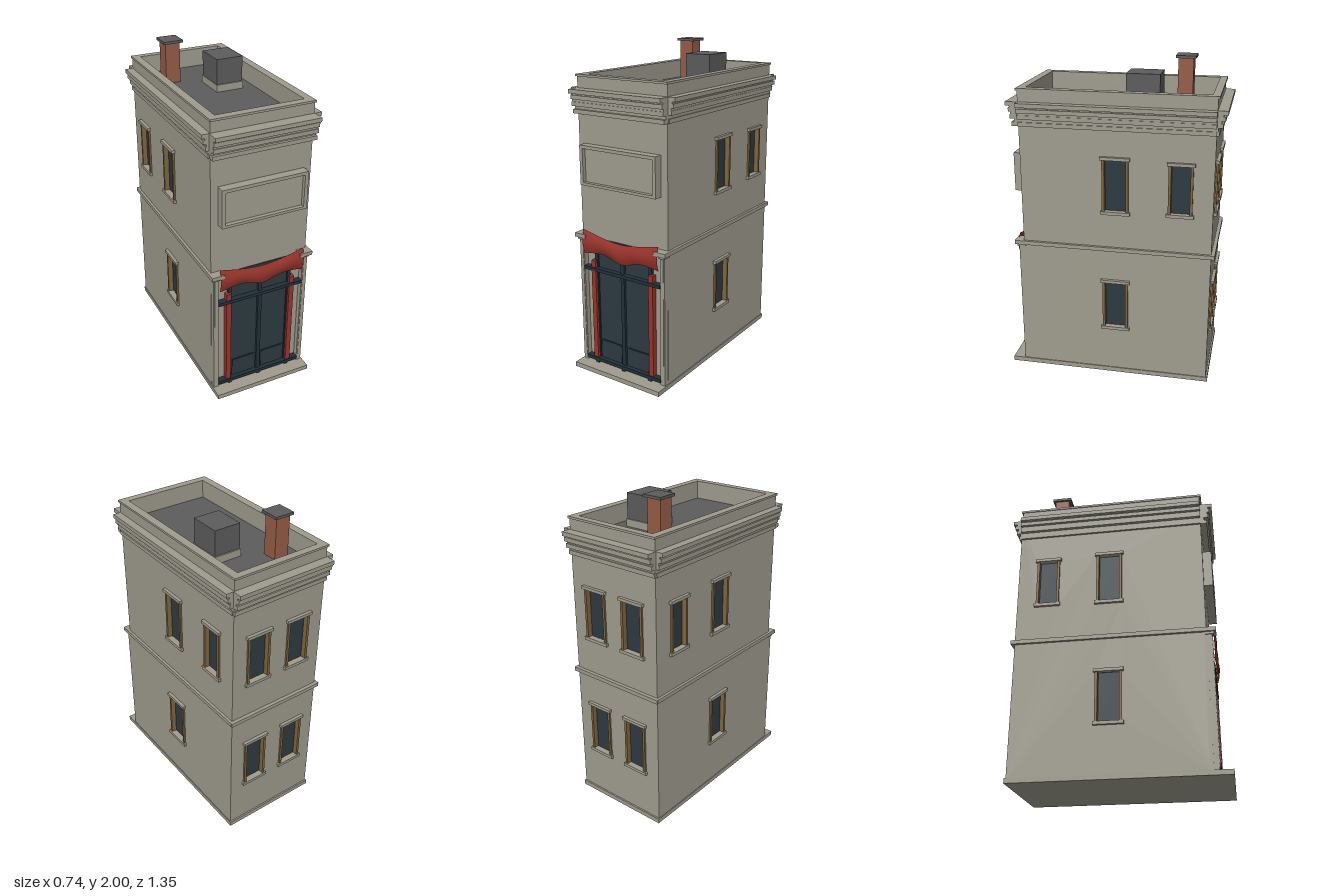
import * as THREE from 'three';

const mat = (name, color, extra = {}) => new THREE.MeshStandardMaterial({ name, color, ...extra });

export function createModel() {
  const stone = mat('stone', 0x9f9c8e);
  const roofGrey = mat('roof grey', 0x5c5c5c);
  const glass = mat('glass', 0x2d3a41);
  const joinery = mat('dark joinery', 0x22303a);
  const wood = mat('window wood', 0x80653f);
  const brick = mat('brick', 0x965c47);
  const red = mat('red paint', 0x9a342c);
  const cloth = mat('red cloth', 0x9a342c, { side: THREE.DoubleSide });

  const model = new THREE.Group();
  model.name = 'shopBuilding';

  // Box given by its limits on each axis
  const box = (name, m, x0, x1, y0, y1, z0, z1, parent = model) => {
    const mesh = new THREE.Mesh(new THREE.BoxGeometry(x1 - x0, y1 - y0, z1 - z0), m);
    mesh.position.set((x0 + x1) / 2, (y0 + y1) / 2, (z0 + z1) / 2);
    mesh.name = name;
    parent.add(mesh);
    return mesh;
  };
  const rect = (C, x0, x1, y0, y1) => new C([[x0, y0], [x1, y0], [x1, y1], [x0, y1]].map(p => new THREE.Vector2(...p)));

  const W = 0.32, ZF = 0.56, ZB = -0.615, ROOF = 1.73, R = 0.025;

  // Core, base and roof deck
  box('core', stone, -W + R, W - R, 0.02, ROOF - 0.01, ZB + R, ZF);
  box('baseSlab', stone, -0.325, 0.325, 0, 0.03, -0.625, 0.67);
  box('roofDeck', roofGrey, -0.28, 0.28, ROOF - 0.01, ROOF, -0.585, 0.525);
  box('frontWall', stone, -W, W, 0.02, ROOF, ZF - R, ZF);

  // Wall skin with window openings, in local axes: u across, y up, outside at z = 0
  const wall = (name, u0, u1, windows, x, z, turn) => {
    const g = new THREE.Group();
    g.name = name;
    const shape = rect(THREE.Shape, u0, u1, 0.02, ROOF);
    for (const [u, y0, y1, w] of windows) {
      shape.holes.push(rect(THREE.Path, u - w, u + w, y0, y1));
      const win = new THREE.Group();
      win.name = 'window';
      g.add(win);
      box('glassPane', glass, u - w, u + w, y0, y1, -R, -R + 0.004, win);
      for (const s of [-1, 1]) {
        const a = u + s * w, b = u + s * (w - 0.016);
        box('jamb', wood, Math.min(a, b), Math.max(a, b), y0, y1, -R, 0.011, win);
      }
      box('lintel', stone, u - w - 0.01, u + w + 0.01, y1 - 0.004, y1 + 0.015, -0.01, 0.02, win);
      box('sill', stone, u - w - 0.01, u + w + 0.01, y0 - 0.018, y0 + 0.002, -0.01, 0.018, win);
    }
    const skin = new THREE.Mesh(new THREE.ExtrudeGeometry(shape, { depth: R, bevelEnabled: false }), stone);
    skin.name = 'wallSkin';
    skin.position.z = -R;
    g.add(skin);
    g.position.set(x, 0, z);
    g.rotation.y = turn;
    model.add(g);
  };
  // Side windows listed as [z, bottom, top, half width]
  const side = [[-0.027, 1.118, 1.446, 0.081], [-0.42, 1.128, 1.434, 0.073], [-0.027, 0.335, 0.648, 0.081]];
  wall('rightWall', -ZF, -ZB, side.map(([z, ...r]) => [-z, ...r]), W, 0, Math.PI / 2);
  wall('leftWall', ZB, ZF, side, -W, 0, -Math.PI / 2);
  const back = [];
  for (const x of [-0.143, 0.143]) back.push([x, 1.12, 1.432, 0.08], [x, 0.335, 0.655, 0.08]);
  wall('backWall', -W, W, back, 0, ZB, Math.PI);

  // Parapet and its coping, both hollow rings
  const ring = (name, x, z0, z1, y0, y1) => {
    const s = rect(THREE.Shape, -x, x, -z1, -z0);
    s.holes.push(rect(THREE.Path, -0.275, 0.275, -0.52, 0.58));
    const m = new THREE.Mesh(new THREE.ExtrudeGeometry(s, { depth: y1 - y0, bevelEnabled: false }), stone);
    m.rotation.x = -Math.PI / 2;
    m.position.y = y0;
    m.name = name;
    model.add(m);
  };
  ring('parapet', W, ZB, ZF, ROOF - 0.02, 1.832);
  ring('coping', 0.325, -0.625, 0.57, 1.832, 1.845);

  // Stepped cornice with open corners: [y0, y1, side, front, back projection]
  const steps = [
    [1.74, 1.765, 0.05, 0.075, 0.06], [1.727, 1.742, 0.03, 0.05, 0.035],
    [1.705, 1.73, 0.04, 0.058, 0.047], [1.688, 1.707, 0.022, 0.045, 0.025],
    [1.665, 1.69, 0.026, 0.05, 0.035], [1.643, 1.667, 0.006, 0.022, 0.008],
    [1.62, 1.645, 0.013, 0.04, 0.015],
  ];
  for (const [y0, y1, s, f, b] of steps) {
    for (const k of [-1, 1]) {
      const a = k * (W - 0.01), c = k * (W + s);
      box('sideCornice', stone, Math.min(a, c), Math.max(a, c), y0, y1, ZB, ZF);
    }
    box('frontCornice', stone, -0.325, 0.325, y0, y1, ZF - 0.01, ZF + f);
    box('backCornice', stone, -0.325, 0.325, y0, y1, ZB - b, ZB + 0.01);
  }

  // Belt course, pilasters and their small capitals
  box('backBelt', stone, -0.335, 0.335, 0.86, 0.885, -0.637, ZB);
  for (const k of [-1, 1]) {
    const span = (name, m, a, b, ...r) => box(name, m, Math.min(k * a, k * b), Math.max(k * a, k * b), ...r);
    span('sideBelt', stone, 0.31, 0.337, 0.86, 0.885, -0.63, 0.6);
    span('frontBelt', stone, 0.255, 0.337, 0.86, 0.885, 0.55, 0.616);
    span('capital', stone, 0.28, 0.325, 0.845, 0.86, 0.55, 0.603);
    span('pilaster', stone, 0.285, 0.318, 0.03, 0.86, 0.55, 0.592);
    span('pilasterFace', stone, 0.291, 0.311, 0.05, 0.84, 0.59, 0.596);
    // Shopfront columns
    span('redColumn', red, 0.2, 0.232, 0.05, 0.72, 0.56, 0.593);
    // Door leaves with stiles and a lower panel
    span('doorGlass', glass, 0, 0.2, 0.04, 0.86, 0.555, 0.566);
    span('doorStile', joinery, 0.192, 0.215, 0.04, 0.82, 0.556, 0.576);
    span('lowerPanel', joinery, 0.022, 0.183, 0.062, 0.19, 0.56, 0.569);
    span('lowerPanelFace', glass, 0.026, 0.179, 0.066, 0.186, 0.565, 0.572);
  }
  box('centrePost', joinery, -0.013, 0.013, 0.04, 0.82, 0.556, 0.582);
  box('transomBar', joinery, -0.287, 0.287, 0.655, 0.676, 0.556, 0.599);
  box('bottomRail', joinery, -0.287, 0.287, 0.045, 0.066, 0.556, 0.599);
  for (const x of [-0.205, 0, 0.205]) box('railFoot', joinery, x - 0.012, x + 0.012, 0.03, 0.046, 0.56, 0.594);

  // Draped cloth: a sheet bent between a sagging top and a scalloped hem
  const curve = pts => {
    const c = new THREE.SplineCurve(pts.map(p => new THREE.Vector2(...p)));
    return t => c.getPoint(t);
  };
  const top = curve([[-0.28, 0.915], [-0.14, 0.885], [0, 0.87], [0.14, 0.885], [0.28, 0.915]]);
  const hem = curve([[-0.28, 0.762], [-0.13, 0.776], [0.02, 0.742], [0.14, 0.776], [0.28, 0.762]]);
  const sheet = new THREE.PlaneGeometry(1, 1, 24, 6);
  const p = sheet.attributes.position;
  for (let i = 0; i < p.count; i++) {
    const t = p.getX(i) + 0.5, v = 0.5 - p.getY(i);
    const a = top(t), b = hem(t);
    p.setXYZ(i, a.x + (b.x - a.x) * v, a.y + (b.y - a.y) * v, 0.598 + 0.016 * Math.sin(Math.PI * v) + 0.003 * Math.sin(t * 19) * v);
  }
  sheet.computeVertexNormals();
  const drape = new THREE.Mesh(sheet, cloth);
  drape.name = 'drape';
  model.add(drape);

  // Blank sign board: frame with a sunken panel
  const frame = rect(THREE.Shape, -0.275, 0.275, 1.198, 1.44);
  frame.holes.push(rect(THREE.Path, -0.253, 0.253, 1.215, 1.42));
  const sign = new THREE.Mesh(new THREE.ExtrudeGeometry(frame, { depth: 0.06, bevelEnabled: false }), stone);
  sign.position.z = 0.555;
  sign.name = 'signFrame';
  model.add(sign);
  box('signPanel', stone, -0.26, 0.26, 1.21, 1.43, 0.555, 0.59);

  // Chimney and roof box
  box('chimney', brick, -0.2, -0.105, ROOF - 0.01, 1.985, -0.427, -0.333);
  box('chimneyCap', roofGrey, -0.214, -0.088, 1.984, 2, -0.443, -0.318);
  box('roofBoxCurb', stone, 0.018, 0.196, ROOF - 0.01, 1.775, -0.277, -0.058);
  box('roofBox', roofGrey, 0.021, 0.193, 1.77, 1.932, -0.268, -0.066);

  return model;
}
